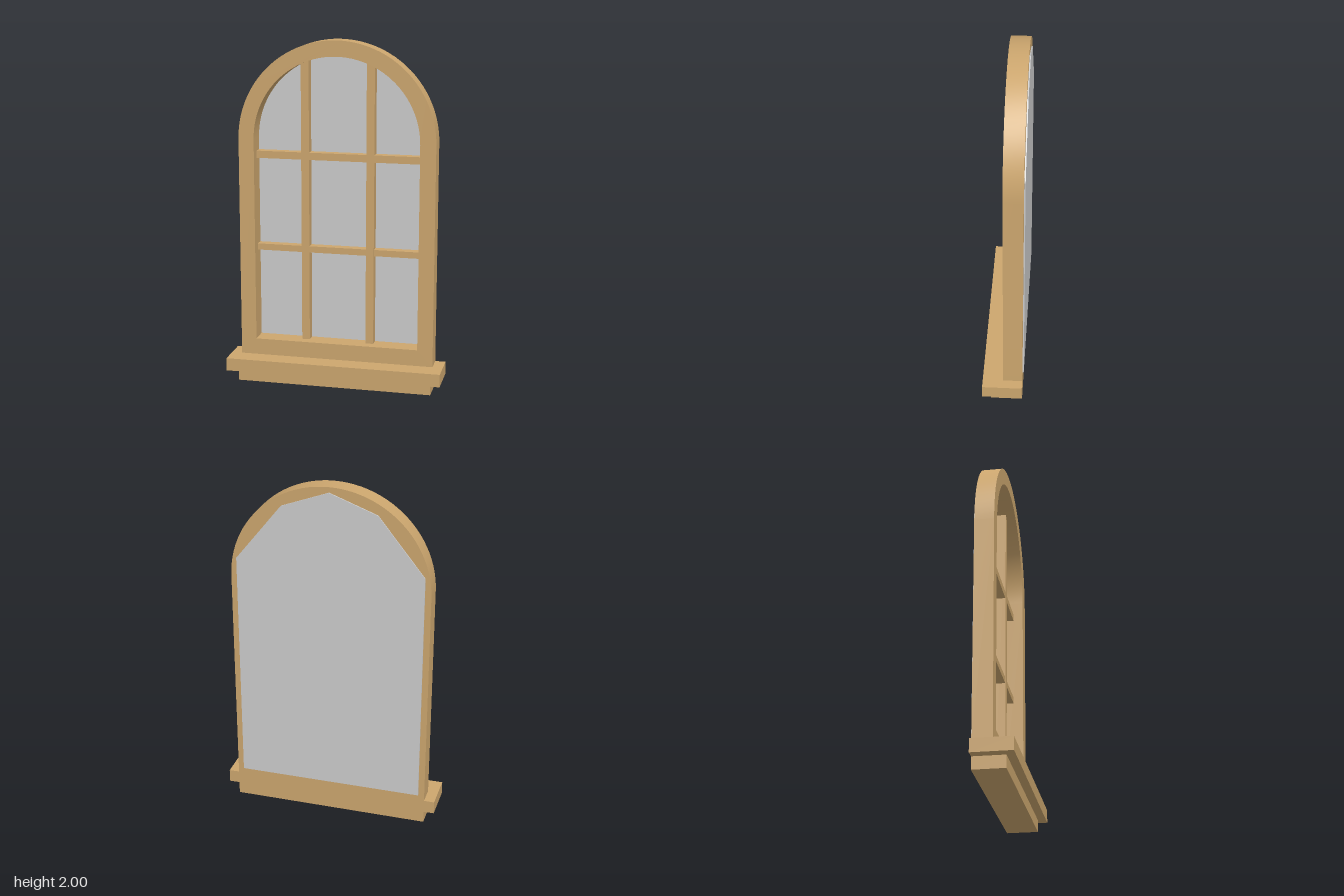
import * as THREE from 'three';
import { toCreasedNormals } from 'three/addons/utils/BufferGeometryUtils.js';

export function createModel() {
  const model = new THREE.Group();
  model.name = 'archedWindow';
  const wood = new THREE.MeshStandardMaterial({ color: 0xcca66e });
  const pane = new THREE.MeshStandardMaterial({ color: 0xcccccc });

  const BACK = -0.11;     // rear plane of the woodwork
  const SPRING = 1.43;    // height where the arch begins

  const add = (name, geometry, material) => {
    const mesh = new THREE.Mesh(geometry, material);
    mesh.name = name;
    model.add(mesh);
  };

  // box given by its limits on each axis
  const addBox = (name, x0, x1, y0, y1, z0, z1) => {
    const g = new THREE.BoxGeometry(x1 - x0, y1 - y0, z1 - z0);
    g.translate((x0 + x1) / 2, (y0 + y1) / 2, (z0 + z1) / 2);
    add(name, g, wood);
  };

  // straight sides topped by a half circle
  const trace = (path, radius, bottom) => {
    path.moveTo(-radius, bottom);
    path.lineTo(radius, bottom);
    path.lineTo(radius, SPRING);
    path.absarc(0, SPRING, radius, 0, Math.PI, false);
    path.lineTo(-radius, bottom);
    return path;
  };

  // arched frame with its opening
  const outline = trace(new THREE.Shape(), 0.57, 0.145);
  outline.holes.push(trace(new THREE.Path(), 0.48, 0.24));
  const frame = new THREE.ExtrudeGeometry(outline, {
    depth: -BACK, bevelEnabled: false, curveSegments: 24,
  });
  frame.translate(0, 0, BACK);
  add('frame', toCreasedNormals(frame, 0.6), wood);

  // sill and the narrower apron under it
  addBox('sill', -0.63, 0.63, 0.07, 0.145, BACK, 0.117);
  addBox('apron', -0.57, 0.57, 0, 0.07, BACK, 0.07);

  // glazing bars, set back in the opening
  for (const x of [-0.192, 0.188]) {
    addBox('verticalBar', x - 0.023, x + 0.023, 0.23, 1.885, BACK, -0.055);
  }
  for (const [y0, y1] of [[0.768, 0.805], [1.313, 1.355]]) {
    addBox('horizontalBar', -0.485, 0.485, y0, y1, BACK, -0.057);
  }

  // glass sheet on the back, its top cut in four straight facets
  const sheet = new THREE.Shape([
    [-0.535, 0.18], [0.535, 0.18], [0.535, 1.54], [0.27, 1.87],
    [0, 1.97], [-0.27, 1.87], [-0.535, 1.54],
  ].map(([x, y]) => new THREE.Vector2(x, y)));
  const glass = new THREE.ExtrudeGeometry(sheet, { depth: 0.007, bevelEnabled: false });
  glass.translate(0, 0, BACK - 0.007);
  add('glass', glass, pane);

  return model;
}
